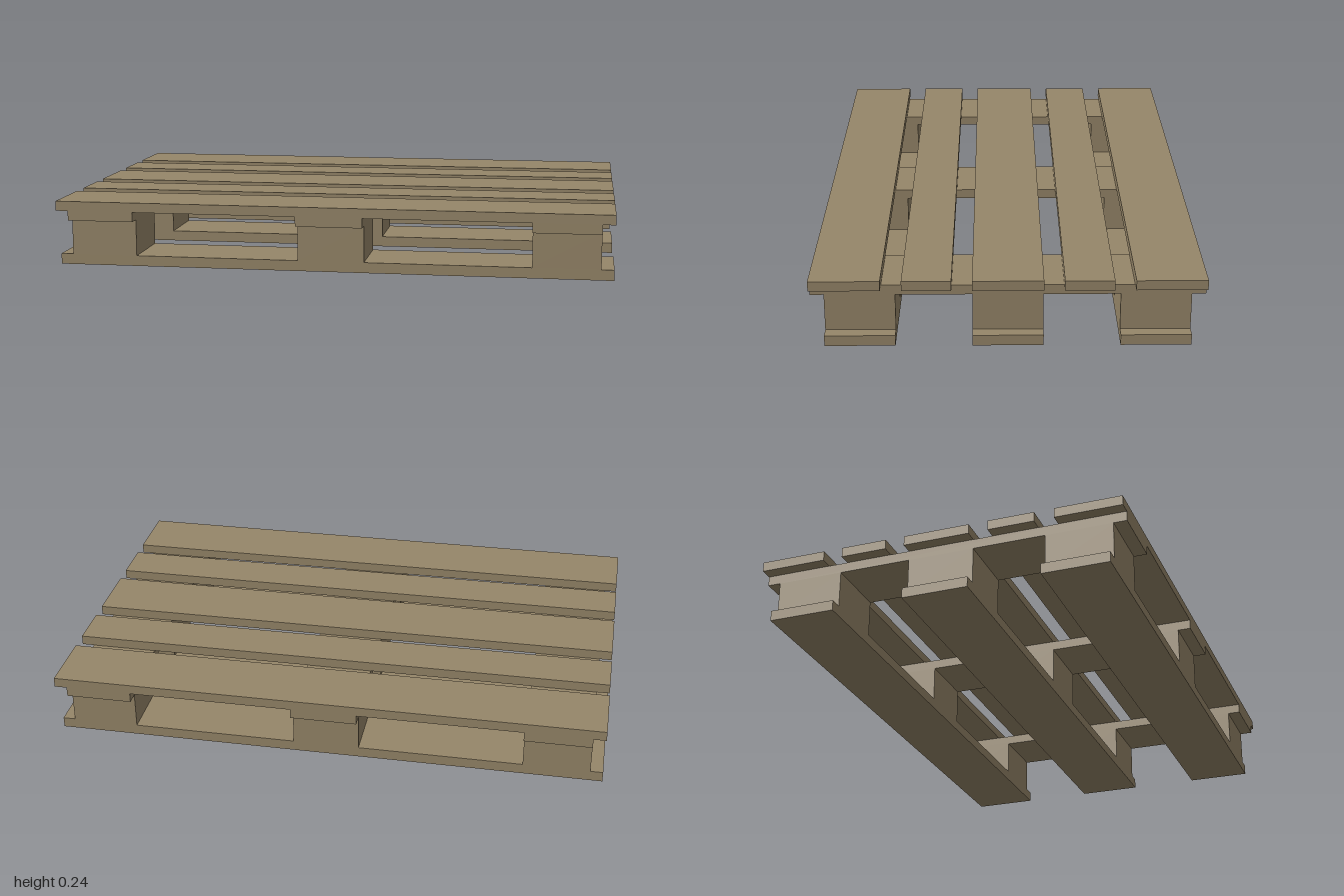
import * as THREE from 'three';

export function createModel() {
  const pallet = new THREE.Group();
  pallet.name = 'pallet';
  const wood = new THREE.MeshStandardMaterial({ color: 0x968669 });
  wood.name = 'weathered wood';

  // One plank or block: x and z centre, bottom and top height, width and depth
  const addBoard = (name, x, z, bottom, top, width, depth) => {
    const mesh = new THREE.Mesh(new THREE.BoxGeometry(width, top - bottom, depth), wood);
    mesh.name = name;
    mesh.position.set(x, (bottom + top) / 2, z);
    pallet.add(mesh);
  };

  const columns = [-0.835, 0, 0.835];
  const rows = [-0.5, 0, 0.5];

  // Bottom runners with three spacer blocks on each
  for (const z of rows) {
    addBoard('bottomRunner', 0, z, 0, 0.038, 2, 0.24);
    for (const x of columns) addBoard('spacerBlock', x, z, 0.038, 0.17, 0.24, 0.24);
  }

  // Cross boards running front to back
  for (const x of columns) addBoard('crossBoard', x, 0, 0.17, 0.205, 0.24, 1.334);

  // Top deck: wide boards at the edges and centre, narrow ones between
  const deck = [[-0.547, 0.24], [-0.273, 0.167], [0, 0.24], [0.273, 0.167], [0.547, 0.24]];
  for (const [z, depth] of deck) addBoard('deckBoard', 0, z, 0.205, 0.24, 2, depth);

  return pallet;
}
